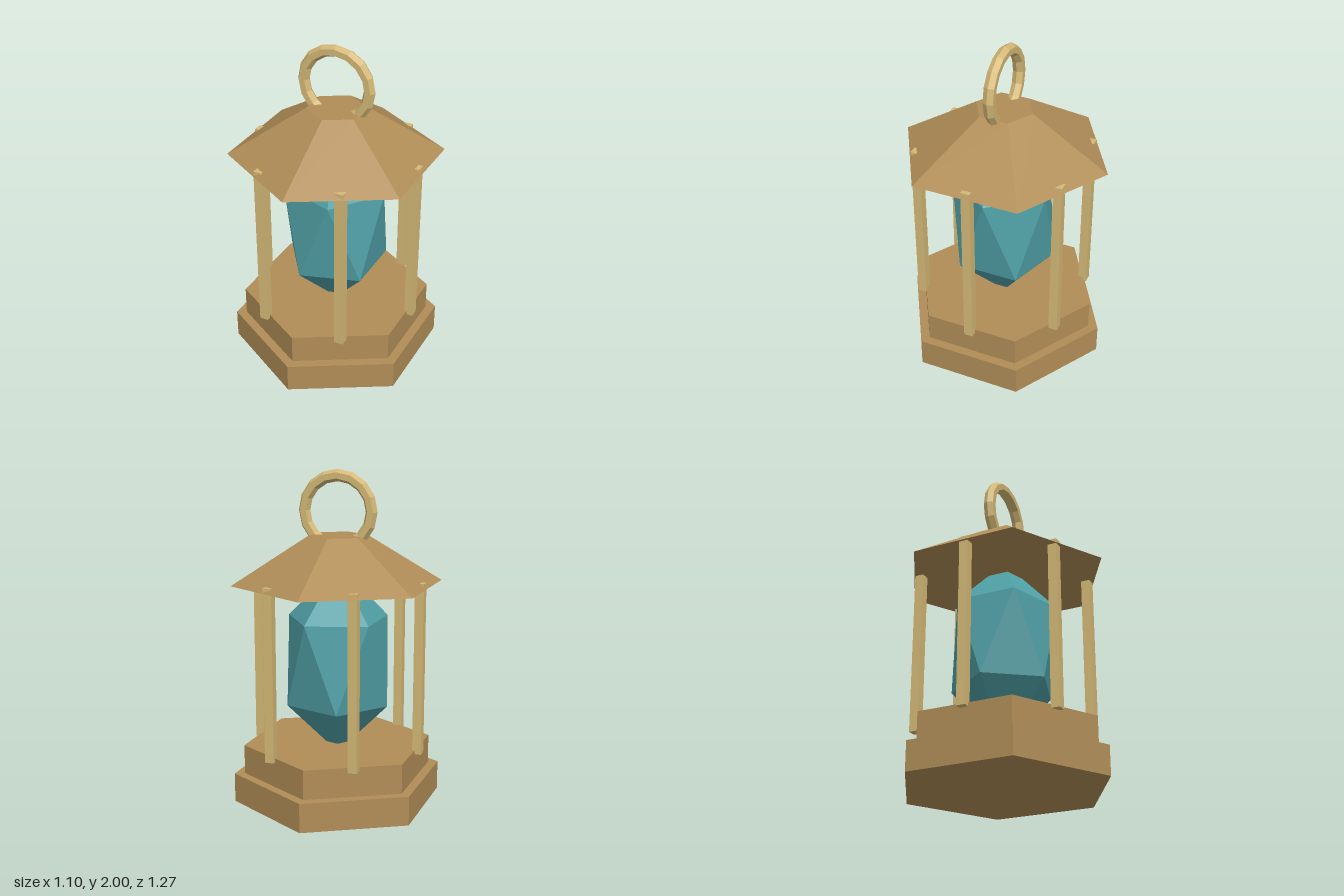
import * as THREE from 'three';

const material = (name, color) => {
  const m = new THREE.MeshStandardMaterial({ color, flatShading: true });
  m.name = name;
  return m;
};

export function createModel() {
  const bronze = material('bronze', 0xb08d57);
  const gold = material('paleGold', 0xd4b876);
  const teal = material('tealCrystal', 0x4f9fa5);

  const model = new THREE.Group();
  model.name = 'crystalLantern';
  const add = (name, geometry, mat, x = 0, y = 0, z = 0) => {
    const mesh = new THREE.Mesh(geometry, mat);
    mesh.name = name;
    mesh.position.set(x, y, z);
    model.add(mesh);
    return mesh;
  };

  // Hexagonal tier between two heights
  const hexTier = (name, rBottom, rTop, y0, y1) =>
    add(name, new THREE.CylinderGeometry(rTop, rBottom, y1 - y0, 6), bronze, 0, (y0 + y1) / 2);

  hexTier('lowerBase', 0.635, 0.635, 0, 0.176);
  hexTier('upperBase', 0.573, 0.573, 0.176, 0.353);
  hexTier('roof', 0.635, 0.176, 1.33, 1.615);

  // Six square posts, centred on the sides of the hexagon
  const postGeometry = new THREE.BoxGeometry(0.054, 1.03, 0.054);
  for (let i = 0; i < 6; i++) {
    const a = (i * Math.PI) / 3;
    add('post' + (i + 1), postGeometry, gold, Math.cos(a) * 0.508, 0.845, Math.sin(a) * 0.508);
  }

  // Stretched icosahedron standing on one of its corners
  const crystal = new THREE.IcosahedronGeometry(1, 0);
  crystal.rotateZ(-Math.atan(2 / (1 + Math.sqrt(5))));
  crystal.scale(0.351, 0.581, 0.351);
  add('crystal', crystal, teal, 0, 0.86, 0);

  // Hanging ring sunk into the roof cap
  add('hangingRing', new THREE.TorusGeometry(0.208, 0.036, 6, 16), gold, 0, 1.756, 0);

  return model;
}
